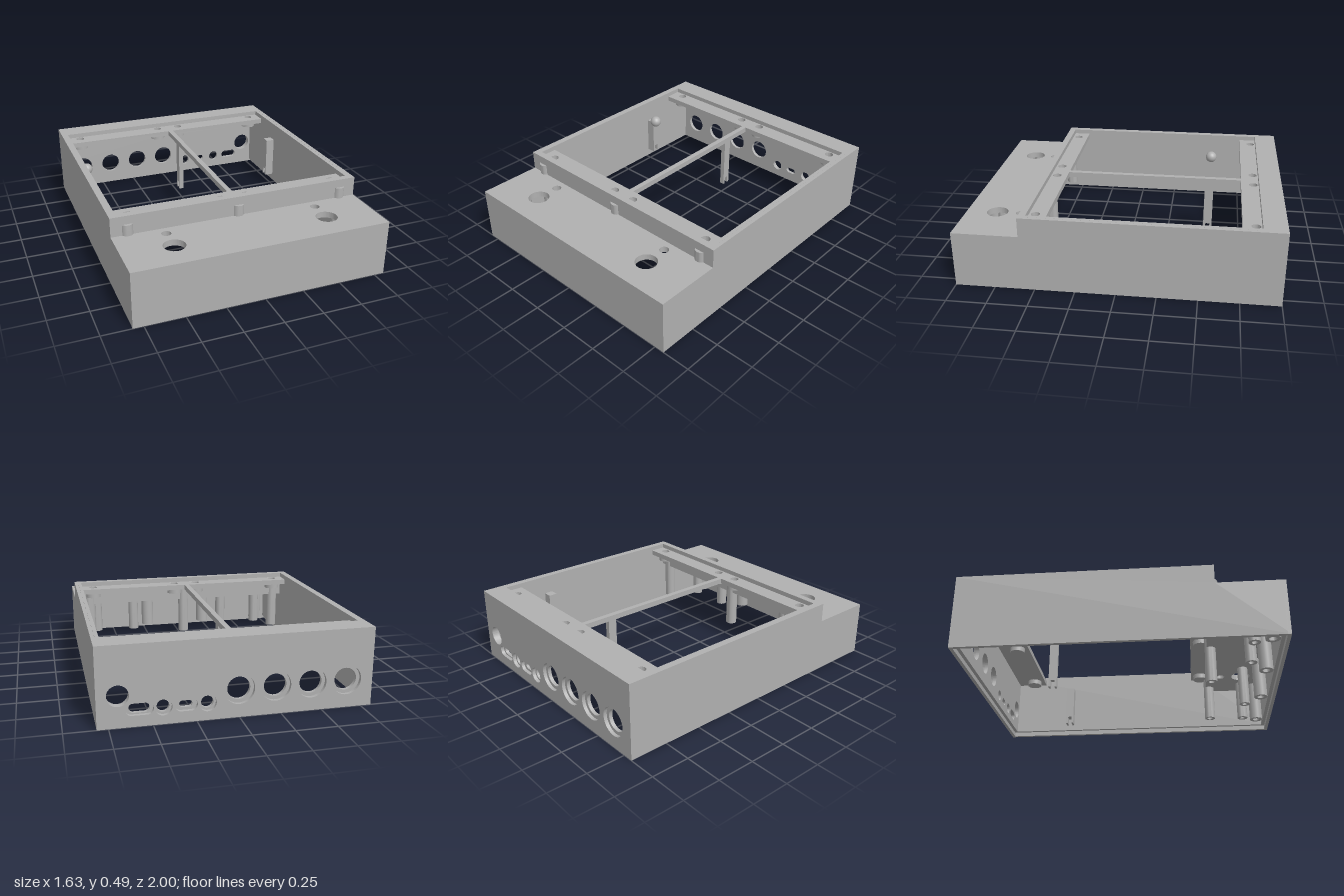
import * as THREE from 'three';
import { toCreasedNormals } from 'three/addons/utils/BufferGeometryUtils.js';

const W = 0.815, SKIN = 0.022, WALL = 0.045, REBATE = 0.03;
const LOW = 0.36, HIGH = 0.485, STEP = 0.583;

export function createModel() {
  const model = new THREE.Group();
  const grey = new THREE.MeshStandardMaterial({ color: 0xb0b0b0 });
  grey.name = 'grey plastic';

  const add = (name, geo, x = 0, y = 0, z = 0) => {
    const mesh = new THREE.Mesh(geo, grey);
    mesh.name = name;
    mesh.position.set(x, y, z);
    model.add(mesh);
    return mesh;
  };
  const box = (name, x0, x1, y0, y1, z0, z1) =>
    add(name, new THREE.BoxGeometry(x1 - x0, y1 - y0, z1 - z0),
      (x0 + x1) / 2, (y0 + y1) / 2, (z0 + z1) / 2);

  const rect = (x0, x1, y0, y1) => new THREE.Shape([
    new THREE.Vector2(x0, y0), new THREE.Vector2(x1, y0),
    new THREE.Vector2(x1, y1), new THREE.Vector2(x0, y1)]);

  // Round or pill-shaped cutout
  const cutout = (x, y, hw, hh = hw) => {
    const r = Math.min(hw, hh), d = hw - r, p = new THREE.Path();
    p.absarc(x + d, y, r, -Math.PI / 2, Math.PI / 2, false);
    p.absarc(x - d, y, r, Math.PI / 2, Math.PI * 1.5, false);
    return p;
  };
  const extrude = (shape, depth) => toCreasedNormals(
    new THREE.ExtrudeGeometry(shape, { depth, bevelEnabled: false, curveSegments: 20 }), 0.6);

  // Horizontal plate: shape drawn in x and z, extruded down from the top height
  const plate = (name, shape, top, depth) =>
    add(name, extrude(shape, depth).rotateX(Math.PI / 2), 0, top, 0);

  // Post with a blind screw hole in its lower end
  const post = (name, x, z, y0, y1, r, hole) => {
    const pts = [[0, y0 + 0.08], [hole, y0 + 0.08], [hole, y0], [r, y0], [r, y1], [0, y1]]
      .map(p => new THREE.Vector2(...p));
    add(name, toCreasedNormals(new THREE.LatheGeometry(pts, 24), 0.6), x, 0, z);
  };

  // Stepped side walls: full-height outer skin and an inner layer above the rebate
  const sideLayer = (name, x, bottom, end) => {
    const s = new THREE.Shape([[-end, bottom], [end, bottom], [end, LOW], [STEP, LOW], [STEP, HIGH], [-end, HIGH]]
      .map(p => new THREE.Vector2(-p[0], p[1])));
    add(name, extrude(s, SKIN + 0.0005).rotateY(Math.PI / 2), x, 0, 0);
  };
  sideLayer('leftWallSkin', W - SKIN, 0, 1);
  sideLayer('leftWallLiner', W - WALL, REBATE, 0.98);
  sideLayer('rightWallSkin', -W, 0, 1);
  sideLayer('rightWallLiner', -W + SKIN, REBATE, 0.98);

  // Front wall
  box('frontWallSkin', -W, W, 0, LOW, 1 - SKIN, 1);
  box('frontWallLiner', -W + SKIN, W - SKIN, REBATE, LOW, 1 - WALL, 1 - SKIN);

  // Back wall ports: x, y, outer half width and height, inner half width and height
  const ports = [
    [0, 0.17, 0.09, 0.09, 0.068, 0.068],
    [-0.218, 0.17, 0.09, 0.09, 0.068, 0.068],
    [-0.435, 0.17, 0.09, 0.09, 0.068, 0.068],
    [-0.653, 0.17, 0.09, 0.09, 0.068, 0.068],
    [0.185, 0.103, 0.05, 0.05, 0.036, 0.036],
    [0.31, 0.103, 0.065, 0.036, 0.038, 0.02],
    [0.44, 0.103, 0.05, 0.05, 0.036, 0.036],
    [0.575, 0.103, 0.08, 0.036, 0.06, 0.028],
    [0.695, 0.19, 0.063, 0.063, 0.063, 0.063],
  ];
  const backSkin = rect(-W, W, 0, HIGH);
  const backLiner = rect(-W + SKIN, W - SKIN, REBATE, HIGH);
  for (const [x, y, ow, oh, iw, ih] of ports) {
    backSkin.holes.push(cutout(x, y, ow, oh));
    backLiner.holes.push(cutout(x, y, iw, ih));
  }
  add('backWallSkin', extrude(backSkin, SKIN), 0, 0, -1);
  add('backWallLiner', extrude(backLiner, WALL - SKIN), 0, 0, -1 + SKIN);

  // Low front deck with button and lamp holes
  const deck = rect(-W + SKIN, W - SKIN, 0.54, 0.98);
  for (const x of [-0.495, 0.495]) {
    deck.holes.push(cutout(x, 0.65, 0.03), cutout(x, 0.8, 0.068));
  }
  plate('frontDeck', deck, LOW, 0.04);

  // Step riser and rear top strip
  box('stepRiser', -W + SKIN, W - SKIN, 0.32, HIGH, 0.54, STEP);
  box('rearTop', -W + SKIN, W - SKIN, 0.425, HIGH, -0.98, -0.855);

  // Sunken ledges with screw holes and the bosses below them
  for (const [name, z0, z1, zh] of [['rearLedge', -0.857, -0.74, -0.82], ['frontLedge', 0.43, 0.542, 0.5]]) {
    const ledge = rect(-W + SKIN, W - SKIN, z0, z1);
    for (const x of [-0.687, -0.082, 0.082, 0.687]) {
      ledge.holes.push(cutout(x, zh, 0.028));
      add('screwBoss', new THREE.CylinderGeometry(0.052, 0.052, 0.034, 24), x, 0.403, zh);
    }
    plate(name, ledge, 0.455, 0.035);
  }

  // Bar between the two openings
  box('centreBar', -0.017, 0.017, 0.42, 0.455, -0.745, 0.435);

  // Posts that break through the step, button posts and front screw posts
  for (const x of [-0.71, 0, 0.71]) post('stepPost', x, 0.565, 0.07, 0.43, 0.038, 0.02);
  for (const x of [-0.64, -0.355, 0.355, 0.64]) post('buttonPost', x, 0.806, 0.04, 0.33, 0.037, 0.018);
  for (const x of [-0.68, -0.227, 0.227, 0.68]) post('frontScrewPost', x, 0.91, 0.04, 0.33, 0.046, 0.024);

  // Notched board supports along the middle
  const support = (name, x0, x1, top) => {
    box(name, x0, x1, 0.12, top, -0.56, -0.502);
    box(name + 'FrontProng', x0, x1, 0.07, 0.12, -0.517, -0.502);
    box(name + 'RearProng', x0, x1, 0.07, 0.12, -0.56, -0.545);
  };
  support('leftSupport', 0.71, 0.775, 0.36);
  support('centreSupport', -0.016, 0.016, 0.42);
  support('rightSupport', -0.775, -0.71, 0.33);
  add('rightSupportKnob', new THREE.SphereGeometry(0.041, 20, 12), -0.712, 0.33, -0.531);

  return model;
}
